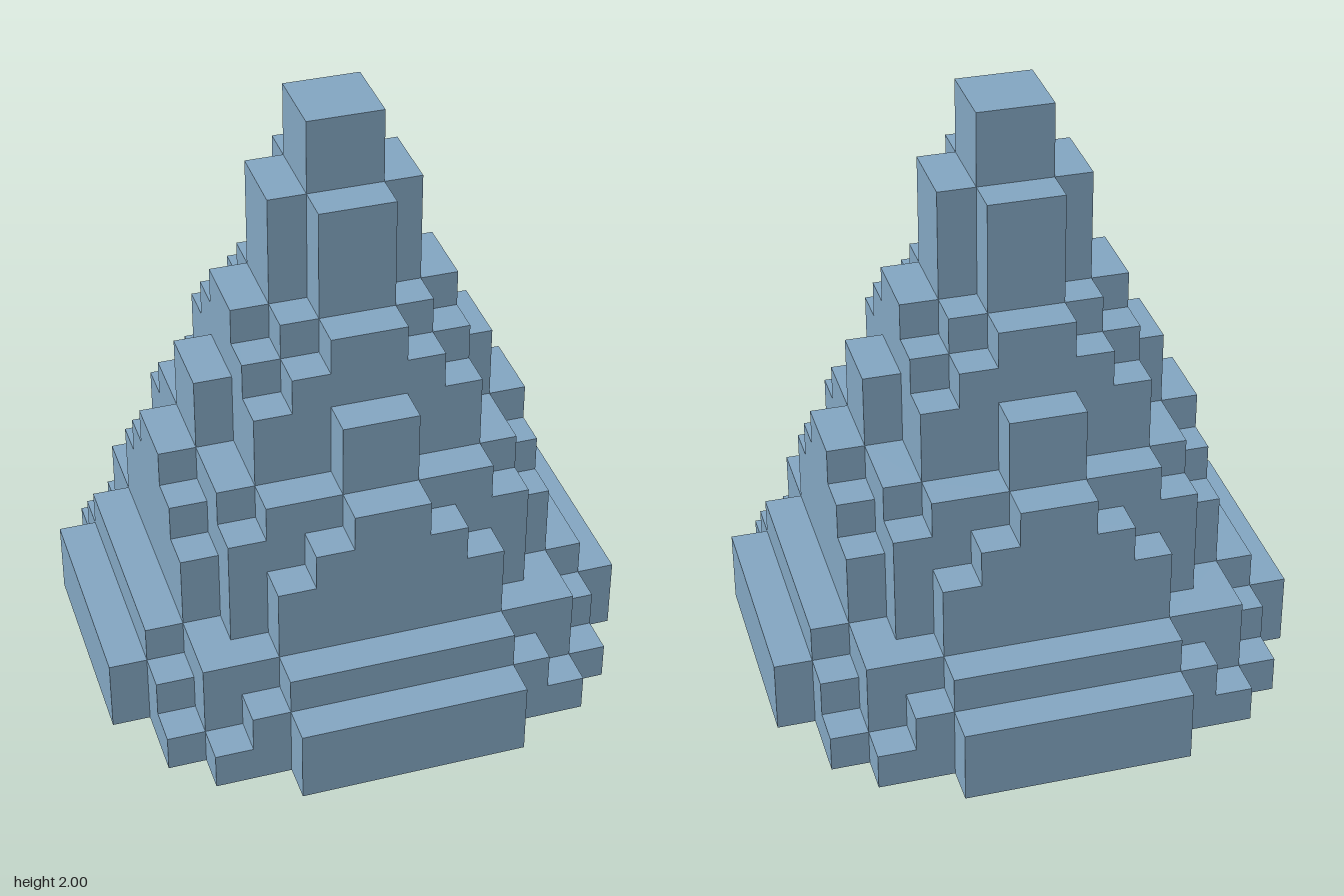
import * as THREE from 'three';

const CELL = 0.125;

// Tiers from the ground up: name, height in cells, radius in cells
const TIERS = [
  ['baseSkirt', 1, 7.2], ['baseSkirtUpper', 1, 7.0], ['baseShoulder', 1, 6.4],
  ['lowerBody', 2, 5.3], ['lowerBodyUpper', 1, 5.0], ['lowerShoulder', 1, 4.6],
  ['middleBody', 2, 3.6],
  ['upperBody', 1, 3.0], ['upperShoulder', 1, 2.6],
  ['neck', 3, 1.6], ['tip', 2, 1.0],
];

// Half width of row v: cells whose centres lie inside the radius
function halfWidth(radius, v) {
  let w = 0;
  while (Math.hypot(w + 0.5, v - 0.5) <= radius) w++;
  return w;
}

// Stepped disc outline: one quadrant of corners turned four times
function steppedDisc(radius) {
  const quadrant = [];
  for (let v = 1; halfWidth(radius, v) > 0; v++) {
    const w = halfWidth(radius, v);
    const next = halfWidth(radius, v + 1);
    if (w === next) continue;
    quadrant.push([w, v]);
    if (next > 0) quadrant.push([next, v]);
  }
  const points = [];
  for (let turn = 0; turn < 4; turn++) {
    for (const [a, b] of quadrant) {
      const [x, y] = [[a, b], [-b, a], [-a, -b], [b, -a]][turn];
      points.push(new THREE.Vector2(x * CELL, y * CELL));
    }
  }
  return new THREE.Shape(points);
}

export function createModel() {
  const group = new THREE.Group();
  group.name = 'steppedCone';
  const material = new THREE.MeshStandardMaterial({ color: 0x82a5c0 });
  material.name = 'dustyBlue';

  // Stack the tiers
  let y = 0;
  for (const [name, cells, radius] of TIERS) {
    const geometry = new THREE.ExtrudeGeometry(steppedDisc(radius), {
      depth: cells * CELL, bevelEnabled: false,
    });
    geometry.rotateX(-Math.PI / 2);
    const tier = new THREE.Mesh(geometry, material);
    tier.name = name;
    tier.position.y = y;
    group.add(tier);
    y += cells * CELL;
  }
  return group;
}
